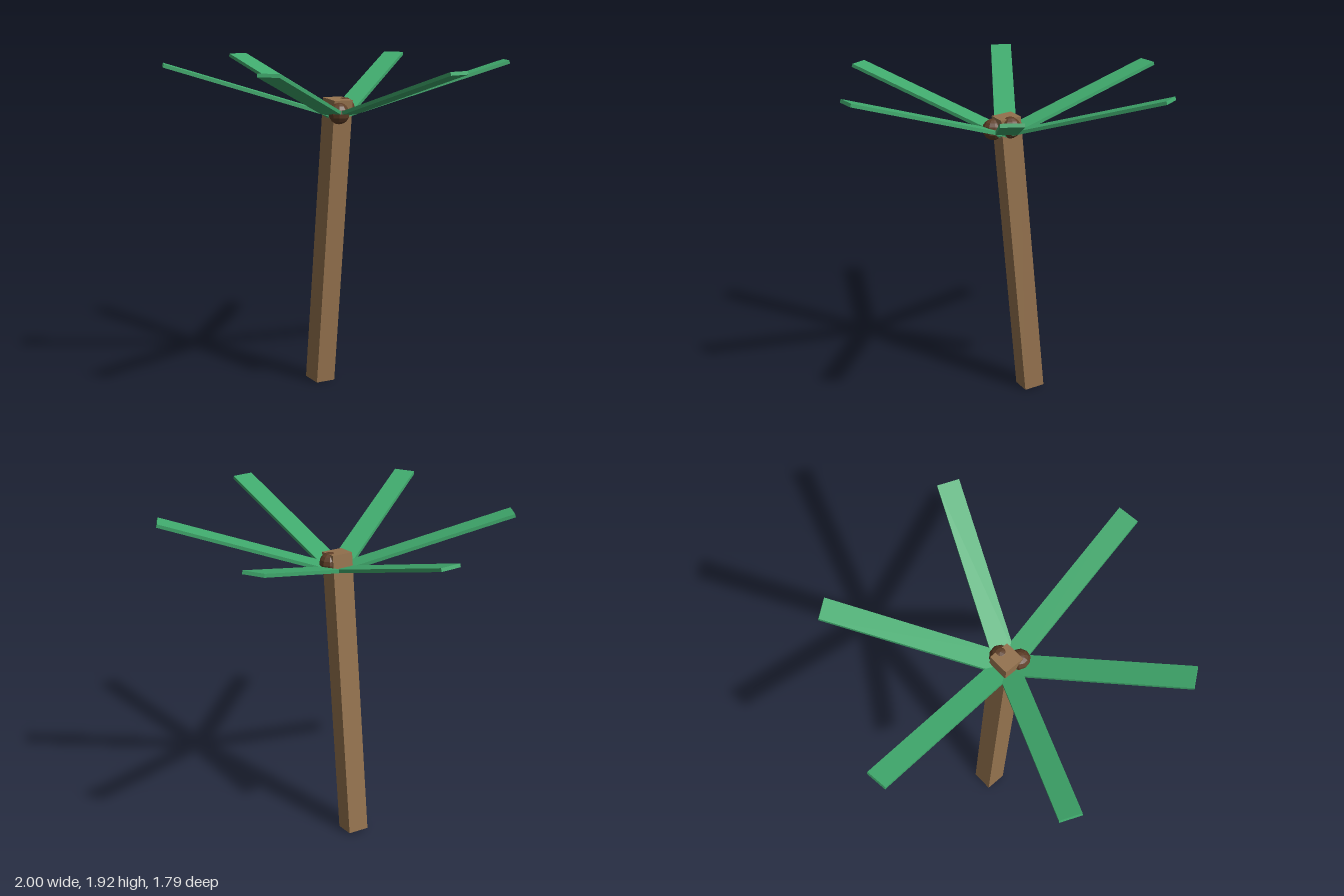
import * as THREE from 'three';

const flat = (name, color) => {
  const m = new THREE.MeshStandardMaterial({ color, flatShading: true });
  m.name = name;
  return m;
};

export function createModel() {
  const bark = flat('bark brown', 0x94724e);
  const green = flat('leaf green', 0x40aa6d);
  const husk = flat('husk brown', 0x5e3e27);

  const tree = new THREE.Group();
  tree.name = 'palmTree';
  const add = (geometry, material, name, parent = tree) => {
    const mesh = new THREE.Mesh(geometry, material);
    mesh.name = name;
    parent.add(mesh);
    return mesh;
  };

  // Square trunk, leaning towards +x and slightly twisted
  const trunk = add(new THREE.BoxGeometry(0.124, 1.712, 0.124), bark, 'trunk');
  trunk.rotation.set(0, -0.1, -0.1, 'ZYX');
  trunk.position.set(-0.087, 0.858, 0);

  // Six straight fronds rising outwards from the crown
  const length = 1.043, rise = 0.3;
  const frondShape = new THREE.BoxGeometry(length, 0.02, 0.125);
  frondShape.translate(length / 2, 0, 0);
  for (let i = 0; i < 6; i++) {
    const frond = add(frondShape, green, 'frond' + (i + 1));
    frond.position.set(0, 1.605, 0);
    frond.rotation.set(0, (i * Math.PI) / 3, rise, 'YZX');
  }

  // Two coconuts beside the trunk top
  const nutShape = new THREE.SphereGeometry(0.062, 10, 8);
  [[0.06, 1.632, 0.042], [0, 1.654, -0.047]].forEach((p, i) => {
    add(nutShape, husk, 'coconut' + (i + 1)).position.set(...p);
  });

  return tree;
}
